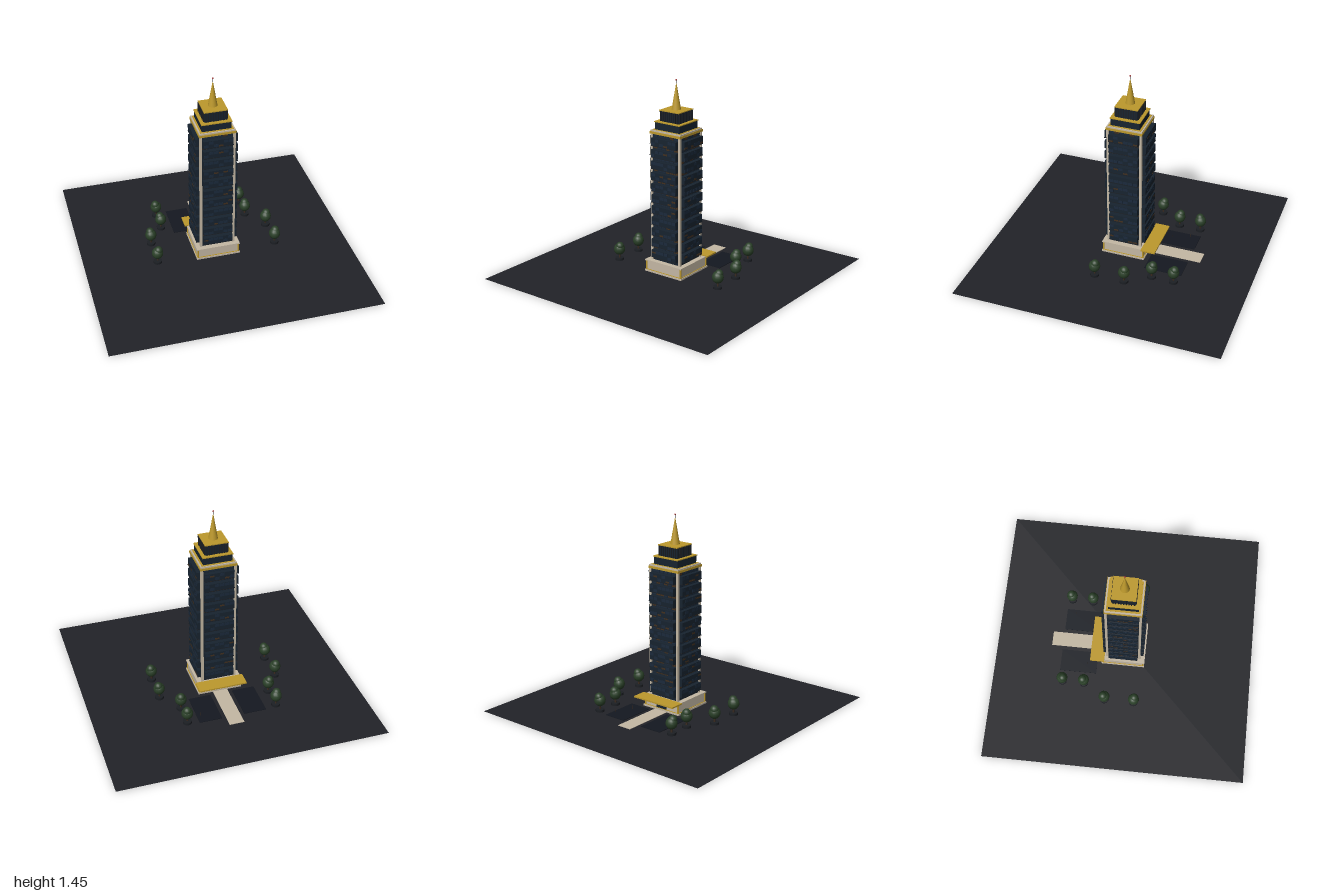
import * as THREE from 'three';

const mat = (color, side = THREE.FrontSide) => new THREE.MeshStandardMaterial({ color, side });
const M = {
  ground: mat(0x222328, THREE.DoubleSide), stone: mat(0xc4b8a4), gold: mat(0xbd992c),
  glass: mat(0x17232f), navy: mat(0x1b2a3c), amber: mat(0x42301f), pool: mat(0x141820),
  dark: mat(0x1c1f24), leaf: mat(0x2a4028), bark: mat(0x3a2a1e), red: mat(0xa03030),
};

let seed = 7;
const rnd = () => (seed = (seed * 16807) % 2147483647) / 2147483647;

function add(parent, name, geo, material, x = 0, y = 0, z = 0) {
  const mesh = new THREE.Mesh(geo, material);
  mesh.name = name;
  mesh.position.set(x, y, z);
  parent.add(mesh);
  return mesh;
}

// box given by its size, centre x/z and bottom height
function box(parent, name, material, w, h, d, x, y0, z) {
  return add(parent, name, new THREE.BoxGeometry(w, h, d), material, x, y0 + h / 2, z);
}

// square slab centred on the tower axis
const slab = (p, name, m, half, y0, y1) => box(p, name, m, half * 2, y1 - y0, half * 2, 0, y0, 0);

function makeFacade() {
  const side = new THREE.Group();
  side.name = 'facade';
  const floors = 11, pitch = 0.0855;
  for (let i = 0; i < floors; i++) {
    const y = 0.12 + i * pitch;
    // projecting bay with slab edges and mullions
    box(side, 'bay', M.glass, 0.22, 0.06, 0.034, 0, y, 0.139);
    box(side, 'baySill', M.dark, 0.224, 0.004, 0.036, 0, y, 0.139);
    for (let k = 0; k < 6; k++) {
      const x = -0.0917 + k * 0.0367;
      const r = rnd();
      box(side, 'bayPane', r < 0.2 ? M.amber : M.navy, 0.033, r < 0.2 ? 0.012 : 0.022, 0.002,
        x, y + (rnd() < 0.5 ? 0.007 : 0.033), 0.156);
      // recessed windows between bays
      box(side, 'window', rnd() < 0.3 ? M.amber : M.navy, 0.033, 0.018, 0.002, x, y + 0.064, 0.1255);
    }
  }
  return side;
}

function makeTree(x, z, turn) {
  const tree = new THREE.Group();
  tree.name = 'tree';
  add(tree, 'planter', new THREE.CylinderGeometry(0.033, 0.033, 0.018, 12), M.dark, 0, 0.01, 0);
  add(tree, 'trunk', new THREE.CylinderGeometry(0.005, 0.007, 0.04, 8), M.bark, 0, 0.035, 0);
  const ball = new THREE.SphereGeometry(1, 14, 10);
  add(tree, 'crown', ball, M.leaf, 0, 0.088, 0).scale.set(0.043, 0.046, 0.043);
  add(tree, 'upperCrown', ball, M.leaf, 0.007, 0.115, 0.004).scale.setScalar(0.031);
  tree.position.set(x, 0, z);
  tree.rotation.y = turn;
  return tree;
}

export function createModel() {
  const model = new THREE.Group();
  model.name = 'towerSite';

  // site
  add(model, 'ground', new THREE.PlaneGeometry(2, 2).rotateX(-Math.PI / 2), M.ground, 0, 0.001, 0);
  box(model, 'path', M.stone, 0.112, 0.003, 0.42, 0, 0.001, -0.363);
  for (const s of [-1, 1]) {
    box(model, 'pool', M.pool, 0.17, 0.004, 0.285, s * 0.17, 0.001, -0.343);
    for (const z of [-0.41, -0.28])
      add(model, 'fountainJet', new THREE.CylinderGeometry(0.0012, 0.0012, 0.025, 6), M.bark,
        s * (z < -0.3 ? 0.225 : 0.18), 0.017, z);
  }

  // podium
  const podium = new THREE.Group();
  podium.name = 'podium';
  model.add(podium);
  slab(podium, 'plinth', M.stone, 0.167, 0, 0.014);
  slab(podium, 'plinthTrim', M.gold, 0.162, 0.014, 0.018);
  slab(podium, 'podiumWall', M.stone, 0.157, 0.018, 0.084);
  slab(podium, 'podiumCornice', M.stone, 0.166, 0.084, 0.092);
  for (const x of [-1, 1]) for (const z of [-1, 1]) {
    add(podium, 'cornerColumn', new THREE.CylinderGeometry(0.007, 0.007, 0.07, 12), M.gold,
      x * 0.156, 0.05, z * 0.156);
  }
  box(podium, 'entrance', M.glass, 0.09, 0.06, 0.004, 0, 0.014, -0.158);
  box(podium, 'canopy', M.gold, 0.364, 0.011, 0.11, 0, 0.088, -0.2);

  // shaft with four matching faces
  const shaft = new THREE.Group();
  shaft.name = 'shaft';
  model.add(shaft);
  slab(shaft, 'glassCore', M.glass, 0.125, 0.09, 1.06);
  for (let i = 0; i < 4; i++) {
    const facade = makeFacade();
    facade.rotation.y = i * Math.PI / 2;
    shaft.add(facade);
  }
  for (const x of [-1, 1]) for (const z of [-1, 1])
    box(shaft, 'cornerPier', M.stone, 0.018, 0.97, 0.018, x * 0.124, 0.09, z * 0.124);

  // stepped crown
  const crown = new THREE.Group();
  crown.name = 'crown';
  model.add(crown);
  slab(crown, 'goldCornice', M.gold, 0.137, 1.06, 1.077);
  slab(crown, 'stoneRim', M.stone, 0.133, 1.077, 1.087);
  slab(crown, 'roofDeck', M.gold, 0.122, 1.087, 1.089);
  slab(crown, 'lowerTier', M.glass, 0.108, 1.087, 1.142);
  slab(crown, 'lowerTierRoof', M.gold, 0.113, 1.142, 1.149);
  slab(crown, 'upperTier', M.glass, 0.084, 1.149, 1.224);
  slab(crown, 'upperTierRoof', M.gold, 0.087, 1.224, 1.231);
  for (let i = 0; i < 4; i++) {
    const fins = new THREE.Group();
    fins.name = 'fins';
    fins.rotation.y = i * Math.PI / 2;
    for (let k = -4; k <= 4; k++)
      box(fins, 'fin', M.dark, 0.006, 0.074, 0.008, k * 0.0185, 1.15, 0.086);
    crown.add(fins);
  }

  // spire
  add(crown, 'spire', new THREE.ConeGeometry(0.034, 0.2, 16), M.gold, 0, 1.331, 0);
  add(crown, 'mast', new THREE.CylinderGeometry(0.002, 0.002, 0.05, 8), M.dark, 0, 1.42, 0);
  add(crown, 'beacon', new THREE.SphereGeometry(0.006, 10, 8), M.red, 0, 1.446, 0);

  // trees in mirrored pairs
  for (const [x, z] of [[0.34, -0.455], [0.34, -0.288], [0.457, -0.115], [0.457, 0.113]])
    for (const s of [-1, 1]) model.add(makeTree(s * x, z, rnd() * Math.PI * 2));

  return model;
}
